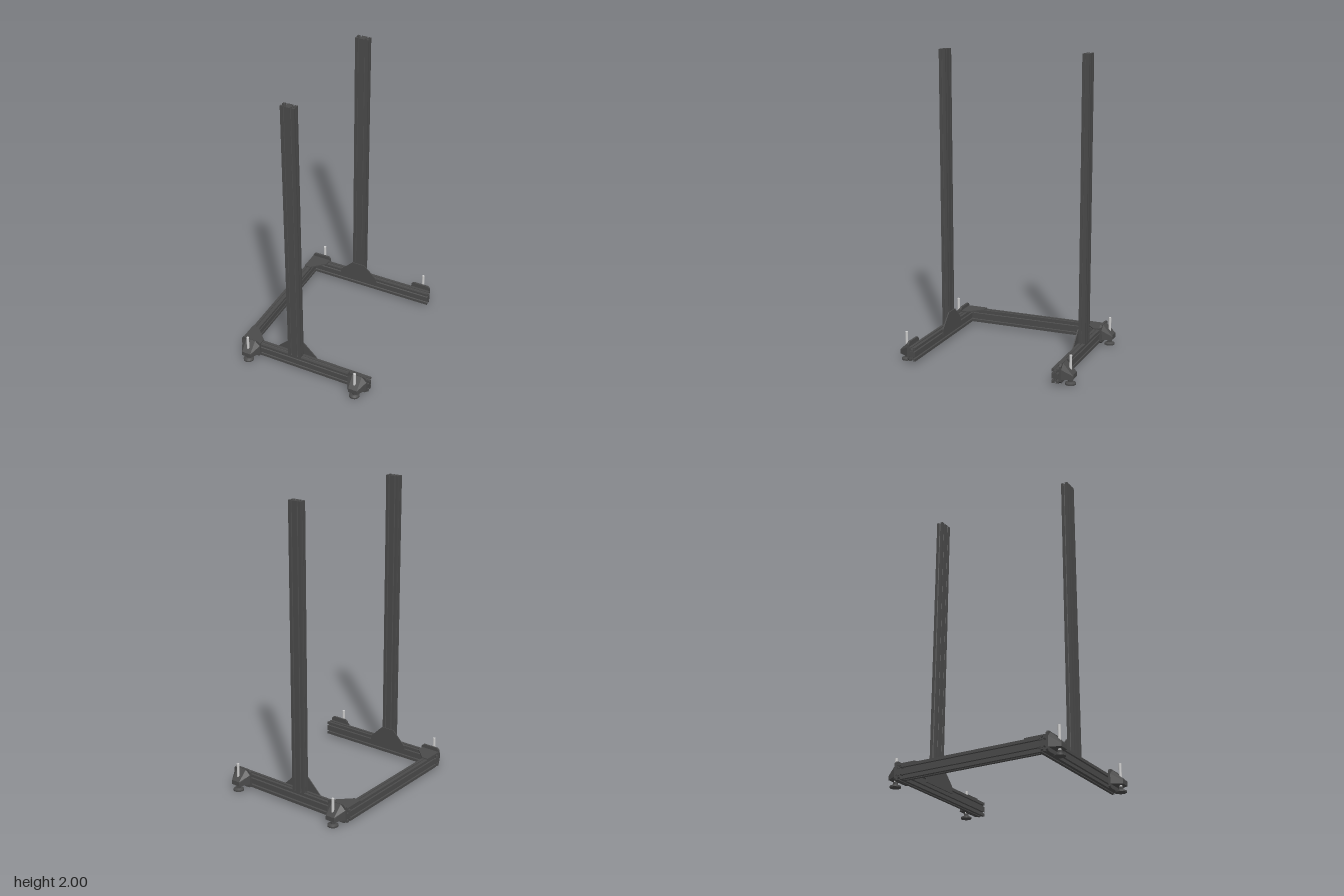
import * as THREE from 'three';

const DARK = new THREE.MeshStandardMaterial({ color: 0x4a4a4a, flatShading: true });
const STEEL = new THREE.MeshStandardMaterial({ color: 0xcccccc });

const W = 0.046, H = 0.093;              // slotted beam section
const RAIL_Z = 0.495, RAIL_Y = 0.067;    // beam centre lines
const TOP = RAIL_Y + H / 2;              // top of the base frame
const UPRIGHT_X = -0.073;

function mesh(name, geometry, material = DARK) {
  const m = new THREE.Mesh(geometry, material);
  m.name = name;
  return m;
}

// Extruded beam: one T-slot on each narrow side, two on each wide side
function beamGeometry(length) {
  const slot = [[-0.005, 0], [-0.005, 0.004], [-0.01, 0.004], [-0.01, 0.009], [-0.005, 0.015],
    [0.005, 0.015], [0.01, 0.009], [0.01, 0.004], [0.005, 0.004], [0.005, 0]];
  const sides = [
    [-W / 2, -H / 2, 1, 0, W, 1], [W / 2, -H / 2, 0, 1, H, 2],
    [W / 2, H / 2, -1, 0, W, 1], [-W / 2, H / 2, 0, -1, H, 2],
  ];
  const pts = [];
  for (const [x, y, dx, dy, len, count] of sides) {
    pts.push(new THREE.Vector2(x, y));
    for (let i = 0; i < count; i++) {
      const mid = len * (i + 0.5) / count;
      for (const [u, v] of slot) {
        pts.push(new THREE.Vector2(x + dx * (mid + u) - dy * v, y + dy * (mid + u) + dx * v));
      }
    }
  }
  const shape = new THREE.Shape(pts);
  for (const y of [-H / 4, H / 4]) {
    shape.holes.push(new THREE.Path().absarc(0, y, 0.004, 0, Math.PI * 2, true));
  }
  const g = new THREE.ExtrudeGeometry(shape, { depth: length, bevelEnabled: false, curveSegments: 6 });
  return g.translate(0, 0, -length / 2);
}

// Flat plate from outline points, extruded along +z
function plateGeometry(points, depth) {
  const shape = new THREE.Shape(points.map(([x, y]) => new THREE.Vector2(x, y)));
  return new THREE.ExtrudeGeometry(shape, { depth, bevelEnabled: false });
}

// Solid between two matching counter-clockwise sections, running towards +z
function loftGeometry(a, za, b, zb) {
  const n = a.length, pos = [], idx = [];
  a.forEach(([x, y]) => pos.push(x, y, za));
  b.forEach(([x, y]) => pos.push(x, y, zb));
  for (let i = 0; i < n; i++) {
    const j = (i + 1) % n;
    idx.push(i, j, n + j, i, n + j, n + i);
    if (i > 0 && i < n - 1) idx.push(0, i + 1, i, n, n + i, n + i + 1);
  }
  const g = new THREE.BufferGeometry();
  g.setAttribute('position', new THREE.Float32BufferAttribute(pos, 3));
  g.setIndex(idx);
  const flat = g.toNonIndexed();
  flat.computeVertexNormals();
  return flat;
}

// Levelling foot facing +z, with the beam face at z = 0
function createFoot() {
  const foot = new THREE.Group();
  foot.name = 'levellingFoot';
  const flange = plateGeometry([[-0.07, 0.032], [-0.058, 0.02], [0.058, 0.02], [0.07, 0.032],
    [0.07, 0.13], [0.055, 0.145], [-0.055, 0.145], [-0.07, 0.13]], 0.014);
  foot.add(mesh('footFlange', flange));

  const body = loftGeometry(
    [[-0.068, 0.045], [0.068, 0.045], [0.068, 0.11], [0.033, 0.142], [-0.033, 0.142], [-0.068, 0.11]], 0.014,
    [[-0.033, 0.045], [0.033, 0.045], [0.033, 0.065], [0.031, 0.075], [-0.031, 0.075], [-0.033, 0.065]], 0.082);
  foot.add(mesh('footBracket', body));

  const addRound = (name, rTop, rBottom, y0, y1, sides, material) => {
    const m = mesh(name, new THREE.CylinderGeometry(rTop, rBottom, y1 - y0, sides), material);
    m.position.set(0, (y0 + y1) / 2, 0.052);
    foot.add(m);
  };
  addRound('footPad', 0.035, 0.035, 0, 0.01, 24, DARK);
  addRound('footPadTop', 0.018, 0.033, 0.01, 0.018, 24, DARK);
  addRound('footNut', 0.016, 0.016, 0.018, 0.034, 6, DARK);
  addRound('footRod', 0.009, 0.009, 0.018, 0.19, 16, STEEL);
  return foot;
}

export function createModel() {
  const model = new THREE.Group();
  model.name = 'uprightFrame';

  // Cross beam joining the two base rails
  const cross = mesh('crossBeam', beamGeometry(2 * RAIL_Z - W));
  cross.position.set(-0.447, RAIL_Y, 0);
  model.add(cross);

  for (const s of [1, -1]) {
    const rail = mesh('baseRail', beamGeometry(0.94).rotateY(Math.PI / 2));
    rail.position.set(0, RAIL_Y, s * RAIL_Z);
    model.add(rail);

    const height = 2 - TOP;
    const upright = mesh('upright', beamGeometry(height).rotateZ(Math.PI / 2).rotateX(-Math.PI / 2));
    upright.position.set(UPRIGHT_X, TOP + height / 2, s * RAIL_Z);
    model.add(upright);

    // Gusset on the inner face of the upright and rail
    const gusset = mesh('uprightGusset', plateGeometry([[-0.142, 0.07], [0.142, 0.07], [0.142, TOP],
      [0.047, 0.207], [-0.047, 0.207], [-0.142, TOP]], 0.007));
    gusset.position.set(UPRIGHT_X, 0, s > 0 ? RAIL_Z - W / 2 - 0.007 : -RAIL_Z + W / 2);
    model.add(gusset);

    // Corner plate lying on top of the rail and cross beam
    const corner = plateGeometry([[-0.47, 0.518], [-0.333, 0.518], [-0.333, 0.472],
      [-0.425, 0.38], [-0.47, 0.38]].map(([x, z]) => [x, -s * z]), 0.008);
    const cornerPlate = mesh('cornerPlate', corner.rotateX(-Math.PI / 2));
    cornerPlate.position.y = TOP;
    model.add(cornerPlate);

    for (const x of [-0.398, 0.396]) {
      const foot = createFoot();
      foot.position.set(x, 0, s * (RAIL_Z + W / 2));
      foot.rotation.y = s > 0 ? 0 : Math.PI;
      model.add(foot);
    }
  }
  return model;
}
